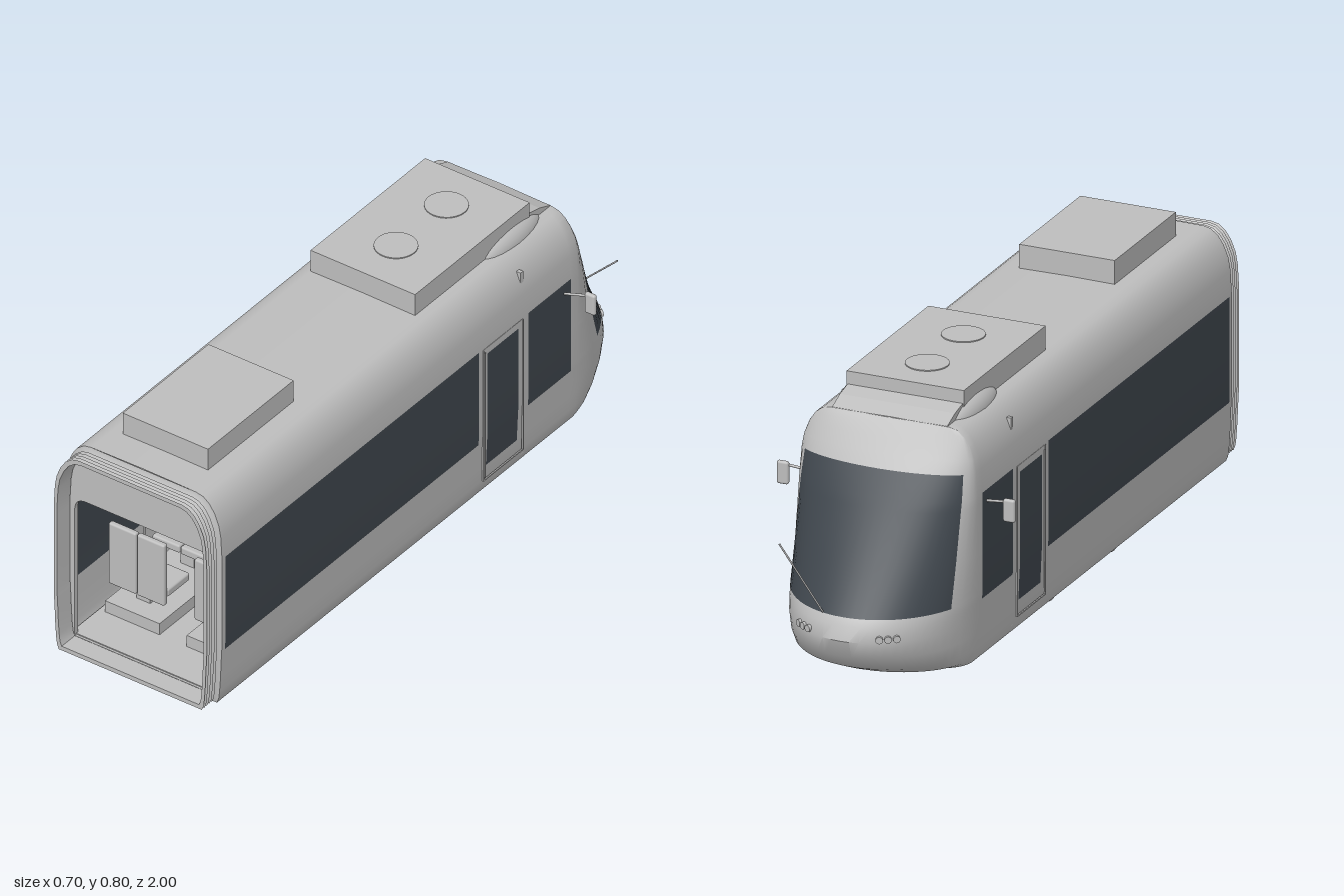
import * as THREE from 'three';
import { toCreasedNormals } from 'three/addons/utils/BufferGeometryUtils.js';
import { RoundedBoxGeometry } from 'three/addons/geometries/RoundedBoxGeometry.js';

// Body levels from keel to roof: [height, half width, nose tip z]
const LEVELS = [
  [0.065, 0, -0.8], [0.065, 0.243, -0.8], [0.08, 0.249, -0.885], [0.105, 0.252, -0.94], [0.15, 0.255, -0.983],
  [0.2, 0.257, -1.0], [0.24, 0.259, -0.988], [0.26, 0.26, -0.976], [0.38, 0.26, -0.9], [0.52, 0.26, -0.823],
  [0.545, 0.26, -0.808], [0.615, 0.256, -0.767], [0.65, 0.25, -0.742], [0.685, 0.236, -0.718],
  [0.71, 0.219, -0.7], [0.726, 0.198, -0.687], [0.731, 0.175, -0.682], [0.733, 0, -0.682],
];
const NOSE = -0.68;
const STRAIGHT = [0.94, 0.925, -0.23, -0.27, -0.41, -0.455, -0.65, NOSE];
const GLASS_ANGLE = 24;

export function createModel() {
  const model = new THREE.Group();
  const grey = new THREE.MeshStandardMaterial({ color: 0xbdbdbd, side: THREE.DoubleSide });
  grey.name = 'light grey';
  const glass = new THREE.MeshStandardMaterial({ color: 0x3f464d, side: THREE.DoubleSide });
  glass.name = 'dark glass';

  const add = (name, geo, x = 0, y = 0, z = 0, mat = grey, parent = model) => {
    const m = new THREE.Mesh(geo, mat);
    m.name = name;
    m.position.set(x, y, z);
    parent.add(m);
    return m;
  };
  const box = (name, w, h, d, x, y, z, mat, parent) =>
    add(name, new THREE.BoxGeometry(w, h, d), x, y, z, mat, parent);
  const rod = (name, a, b, r, parent) => add(name, new THREE.TubeGeometry(
    new THREE.LineCurve3(new THREE.Vector3(...a), new THREE.Vector3(...b)), 1, r, 6), 0, 0, 0, grey, parent);
  const disc = (name, r, len, x, y, z, parent) =>
    add(name, new THREE.CylinderGeometry(r, r, len, 32).rotateZ(Math.PI / 2), x, y, z, grey, parent);

  // Skin over rows of points; isGlass picks the material of each cell
  function skin(rows, crease, isGlass = () => false) {
    const cols = rows[0].length, parts = [[], []];
    for (let j = 0; j < rows.length - 1; j++) {
      for (let i = 0; i < cols - 1; i++) {
        const a = j * cols + i, c = a + cols;
        parts[isGlass(i, j) ? 1 : 0].push(a, a + 1, c + 1, a, c + 1, c);
      }
    }
    const g = new THREE.BufferGeometry();
    g.setAttribute('position', new THREE.Float32BufferAttribute(rows.flat(2), 3));
    g.setIndex([...parts[0], ...parts[1]]);
    g.addGroup(0, parts[0].length, 0);
    g.addGroup(parts[0].length, parts[1].length, 1);
    return toCreasedNormals(g, crease);
  }

  // Body: straight sides joined by an elliptical nose at every level
  const angles = [8, 16];
  for (let k = 0; k <= 22; k++) angles.push(GLASS_ANGLE + k * (180 - 2 * GLASS_ANGLE) / 22);
  angles.push(164, 172);
  const nS = STRAIGHT.length, nCols = nS * 2 + angles.length;
  const rows = LEVELS.map(([y, w, tip]) => [
    ...STRAIGHT.map(z => [w, y, z]),
    ...angles.map(d => {
      const t = THREE.MathUtils.degToRad(d);
      return [w * Math.cos(t), y, NOSE + (tip - NOSE) * Math.sin(t)];
    }),
    ...[...STRAIGHT].reverse().map(z => [-w, y, z]),
  ]);
  const isGlass = (i, j) => {
    const lo = LEVELS[j][0], hi = LEVELS[j + 1][0];
    const within = (a, b) => lo >= a - 1e-6 && hi <= b + 1e-6;
    const k = Math.min(i, nCols - 2 - i);
    if (k === 1 || k === 5) return within(0.24, 0.545);
    if (k === 3) return within(0.15, 0.52);
    return k >= nS + 2 && within(0.26, 0.615);
  };
  add('bodyShell', skin(rows, 0.6, isGlass), 0, 0, 0, [grey, glass]);

  // Gangway bellows: pleated rings around the open end
  const half = LEVELS.slice(1, -1).map(([y, w]) => [w, y]);
  const outline = [...half, ...half.map(([x, y]) => [-x, y]).reverse()];
  const ring = (s, z) => [...outline, outline[0]].map(([x, y]) => [x * s, 0.4 + (y - 0.4) * s, z]);
  const pleats = [ring(1, 0.94)];
  for (let k = 0; k <= 10; k++) pleats.push(ring(k % 2 ? 0.95 : 0.975, 0.942 + k * 0.0058));
  pleats.push(ring(0.935, 1.0), ring(0.935, 0.94));
  add('gangwayBellows', skin(pleats, 0.5), 0, 0, 0, [grey, grey]);

  // End wall with a round-topped passage
  const wall = new THREE.Shape(outline.map(([x, y]) => new THREE.Vector2(x * 0.985, 0.4 + (y - 0.4) * 0.985)));
  const hole = new THREE.Path();
  hole.moveTo(-0.23, 0.085).lineTo(-0.23, 0.5).quadraticCurveTo(-0.23, 0.54, -0.19, 0.54);
  hole.lineTo(0.19, 0.54).quadraticCurveTo(0.23, 0.54, 0.23, 0.5).lineTo(0.23, 0.085).closePath();
  wall.holes.push(hole);
  add('endWall', new THREE.ExtrudeGeometry(wall, { depth: 0.015, bevelEnabled: false }), 0, 0, 0.922);

  // Interior: floor, cab wall with double door, display
  box('floor', 0.49, 0.012, 1.5, 0, 0.082, 0.18);
  box('cabWall', 0.5, 0.6, 0.012, 0, 0.385, -0.44);
  box('doorSeam', 0.005, 0.43, 0.006, 0, 0.325, -0.431);
  box('cabWindow', 0.11, 0.12, 0.006, -0.125, 0.38, -0.431, glass);
  box('displayCase', 0.134, 0.052, 0.02, 0, 0.5, 0.75);
  box('displayScreen', 0.124, 0.042, 0.004, 0, 0.5, 0.761, glass);
  rod('displayHanger', [0, 0.52, 0.75], [0, 0.73, 0.75], 0.003);

  // Seats in pairs, rows facing each other over low plinths
  function seatPair(side, z, dir) {
    const g = new THREE.Group();
    g.name = 'seatPair';
    g.position.set(side * 0.142, 0, z);
    g.rotation.y = dir > 0 ? 0 : Math.PI;
    model.add(g);
    for (const x of [-0.047, 0.047]) {
      add('seatCushion', new RoundedBoxGeometry(0.091, 0.025, 0.1, 2, 0.006), x, 0.195, 0.03, grey, g);
      add('seatBack', new RoundedBoxGeometry(0.091, 0.2, 0.018, 2, 0.006), x, 0.263, -0.03, grey, g);
    }
    box('seatPedestal', 0.045, 0.1, 0.05, 0, 0.135, 0.02, grey, g);
  }
  for (const side of [1, -1]) {
    for (const [z, dir] of [[0.74, -1], [0.5, 1], [0.25, -1], [0.0, 1]]) seatPair(side, z, dir);
    box('seatPlinth', 0.18, 0.037, 0.95, side * 0.135, 0.106, 0.33);
    for (const z of [0.68, 0.1]) rod('grabPole', [side * 0.186, 0.09, z], [side * 0.186, 0.7, z], 0.003);
  }

  // Roof units with fans
  box('rearRoofUnit', 0.282, 0.07, 0.39, 0, 0.765, 0.645);
  box('frontRoofUnit', 0.346, 0.07, 0.522, 0, 0.765, -0.32);
  for (const z of [-0.44, -0.21]) add('roofFan', new THREE.CylinderGeometry(0.06, 0.06, 0.004, 32), 0, 0.801, z);

  // Fairing: ramp ahead of the front unit and a blister on each side
  const ramp = new THREE.Shape([[0.57, 0.72], [0.68, 0.72], [0.68, 0.732], [0.63, 0.752], [0.57, 0.765]]
    .map(p => new THREE.Vector2(...p)));
  add('fairingRamp', new THREE.ExtrudeGeometry(ramp, { depth: 0.34, bevelEnabled: false })
    .translate(0, 0, -0.17).rotateY(Math.PI / 2));
  for (const s of [1, -1]) {
    add('fairingBlister', new THREE.SphereGeometry(1, 24, 16).scale(0.043, 0.048, 0.14), s * 0.157, 0.718, -0.5);

    // Mirrors
    rod('mirrorArm', [s * 0.255, 0.512, -0.62], [s * 0.325, 0.525, -0.636], 0.004);
    add('mirror', new RoundedBoxGeometry(0.035, 0.066, 0.015, 3, 0.007), s * 0.334, 0.502, -0.638);

    // Door frame and handrails
    for (const z of [-0.25, -0.43]) box('doorFrameSide', 0.004, 0.43, 0.004, s * 0.26, 0.325, z);
    for (const y of [0.11, 0.54]) box('doorFrameEnd', 0.004, 0.004, 0.18, s * 0.259, y, -0.34);
    rod('doorHandrail', [s * 0.262, 0.12, -0.256], [s * 0.262, 0.53, -0.256], 0.0025);

    // Headlights: three small lamps each side
    for (let k = 0; k < 3; k++) {
      const t = THREE.MathUtils.degToRad(56 + k * 5);
      const lamp = add('headlight', new THREE.CylinderGeometry(0.01, 0.01, 0.01, 16).rotateX(Math.PI / 2),
        s * 0.257 * Math.cos(t), 0.21, NOSE - 0.32 * Math.sin(t));
      lamp.rotation.y = s * (Math.PI / 2 - t) * -1;
    }
  }

  // Wiper
  rod('wiperArm', [0.06, 0.265, -0.975], [0.21, 0.42, -0.93], 0.0025);

  // Bogie: wheels, axles, brake discs, motors
  for (const z of [0.365, -0.03]) {
    for (const s of [1, -1]) {
      disc('wheel', 0.067, 0.022, s * 0.166, 0.067, z);
      disc('wheelFlange', 0.06, 0.03, s * 0.164, 0.067, z);
      disc('brakeDisc', 0.038, 0.01, s * 0.105, 0.065, z);
    }
    disc('axle', 0.01, 0.33, 0, 0.062, z);
  }
  for (const z of [0.26, 0.075]) disc('motor', 0.026, 0.155, -0.012, 0.066, z);

  return model;
}
